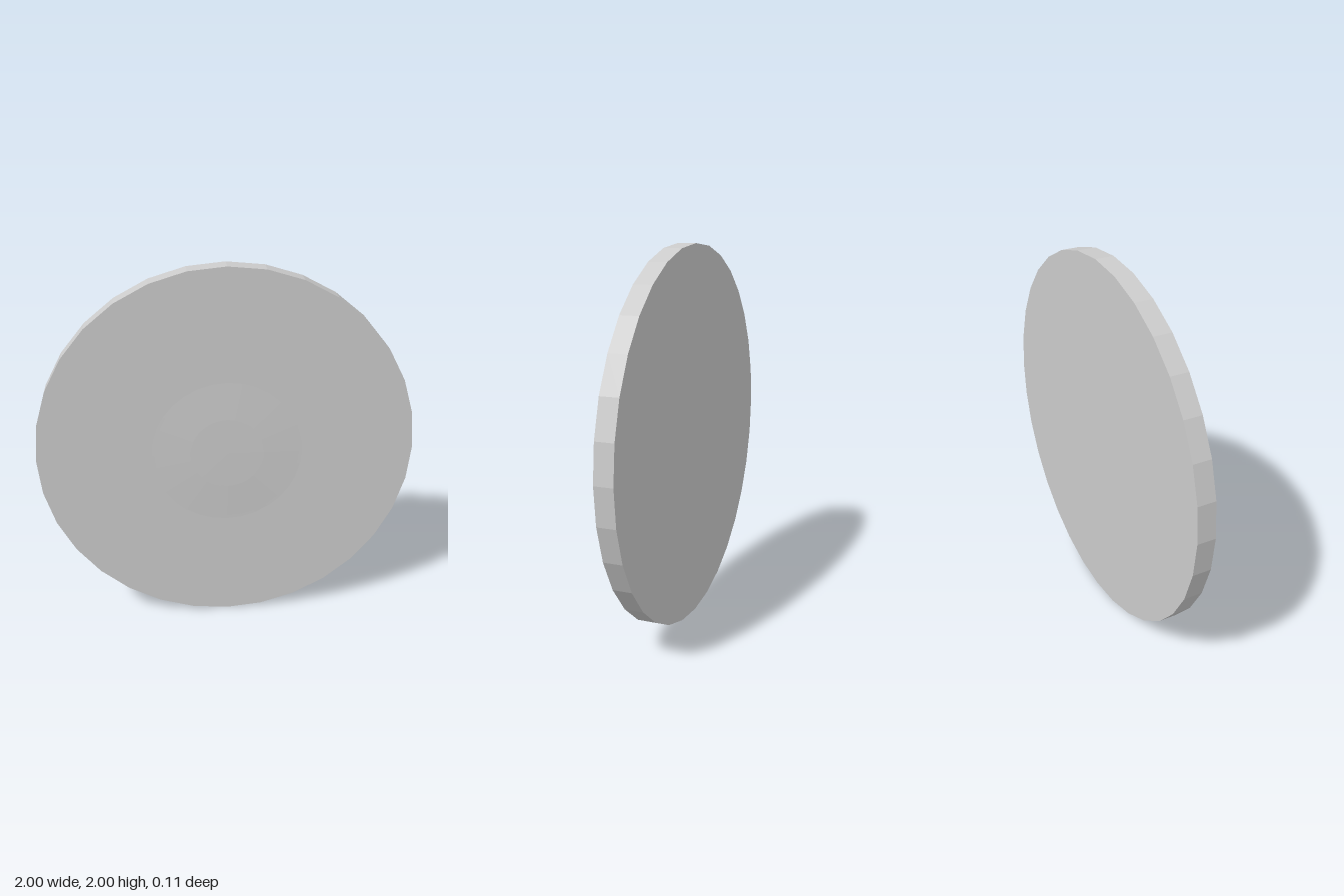
import * as THREE from 'three';

const SIDES = 32;
const BACK = -0.053, FACE = 0.045, PEAK = 0.053;

export function createModel() {
  const group = new THREE.Group();
  group.name = 'disc';
  const material = new THREE.MeshStandardMaterial({ color: 0xcccccc, flatShading: true });

  const add = (name, geometry) => {
    const mesh = new THREE.Mesh(geometry, material);
    mesh.name = name;
    group.add(mesh);
  };

  // Thick plate standing upright, axis along z
  const plate = new THREE.CylinderGeometry(1, 1, FACE - BACK, SIDES);
  plate.rotateX(Math.PI / 2).translate(0, 1, (FACE + BACK) / 2);
  add('plate', plate);

  // Very shallow faceted bulge in the middle of the front face
  const profile = [[0.4, FACE], [0.383, 0.0455], [0.195, 0.0515], [0, PEAK]]
    .map(([r, h]) => new THREE.Vector2(r, h));
  const bulge = new THREE.LatheGeometry(profile, SIDES);
  bulge.rotateX(Math.PI / 2).translate(0, 1, 0);
  add('centreBulge', bulge);

  return group;
}
